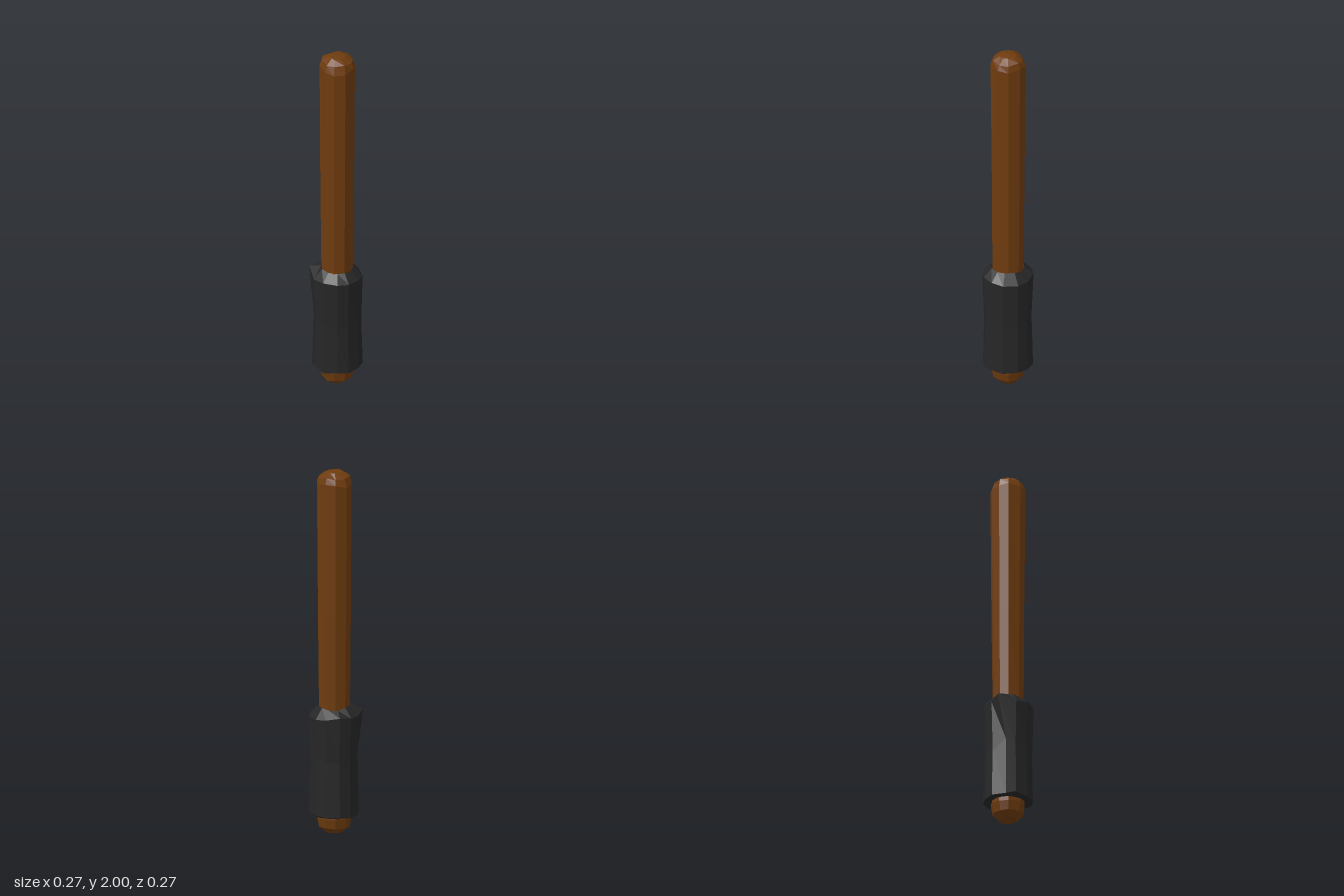
import * as THREE from 'three';

// Repeatable value in -1..1 for a column / row pair
function wobble(a, b) {
  const s = Math.sin(a * 12.9898 + b * 78.233) * 43758.5453;
  return (s - Math.floor(s)) * 2 - 1;
}

// Faceted turned form whose vertices are nudged for a hand-carved look.
// Each profile row is [radius, y, radius nudge, y nudge].
function carved(name, color, sides, profile, adjust) {
  const geo = new THREE.LatheGeometry(profile.map(([r, y]) => new THREE.Vector2(r, y)), sides);
  const pos = geo.attributes.position;
  const rows = profile.length;
  for (let i = 0; i <= sides; i++) {
    const col = i % sides;
    for (let j = 0; j < rows; j++) {
      const [r, y, dr = 0, dy = 0] = profile[j];
      const v = {
        angle: (col / sides) * Math.PI * 2 + (r > 0 ? wobble(col, 3) * 0.07 : 0),
        radius: r + wobble(col, j + 11) * dr,
        y: y + wobble(col, j + 29) * dy,
      };
      if (adjust) adjust(v, col, j);
      pos.setXYZ(i * rows + j, v.radius * Math.sin(v.angle), v.y, v.radius * Math.cos(v.angle));
    }
  }
  geo.computeVertexNormals();
  const mesh = new THREE.Mesh(geo, new THREE.MeshStandardMaterial({ color, flatShading: true }));
  mesh.name = name;
  return mesh;
}

export function createModel() {
  const group = new THREE.Group();
  group.name = 'wrappedStick';

  // Wooden shaft with rounded ends
  group.add(carved('woodenShaft', 0x6e3b0e, 10, [
    [0, 0],
    [0.048, 0.012, 0.004, 0.004],
    [0.083, 0.04, 0.003, 0.005],
    [0.093, 0.09, 0.002, 0.006],
    [0.085, 0.4, 0.001],
    [0.085, 0.7, 0.002],
    [0.089, 1.2, 0.002, 0.04],
    [0.096, 1.93, 0.002, 0.012],
    [0.083, 1.97, 0.003, 0.006],
    [0.048, 1.993, 0.004, 0.003],
    [0, 2],
  ]));

  // Dark wrap: ragged upper edge, slight waist, one corner flaring out
  group.add(carved('gripWrap', 0x262626, 12, [
    [0.076, 0.115],
    [0.105, 0.105, 0.002, 0.003],
    [0.134, 0.115, 0.002, 0.008],
    [0.126, 0.4, 0.002, 0.04],
    [0.136, 0.655, 0.002, 0.012],
    [0.088, 0.702, 0.003, 0.012],
    [0.074, 0.69],
  ], (v, col, row) => {
    if (col === 8 && row === 4) {
      v.angle = 3.97;
      v.radius = 0.153;
      v.y = 0.685;
    }
  }));

  return group;
}
